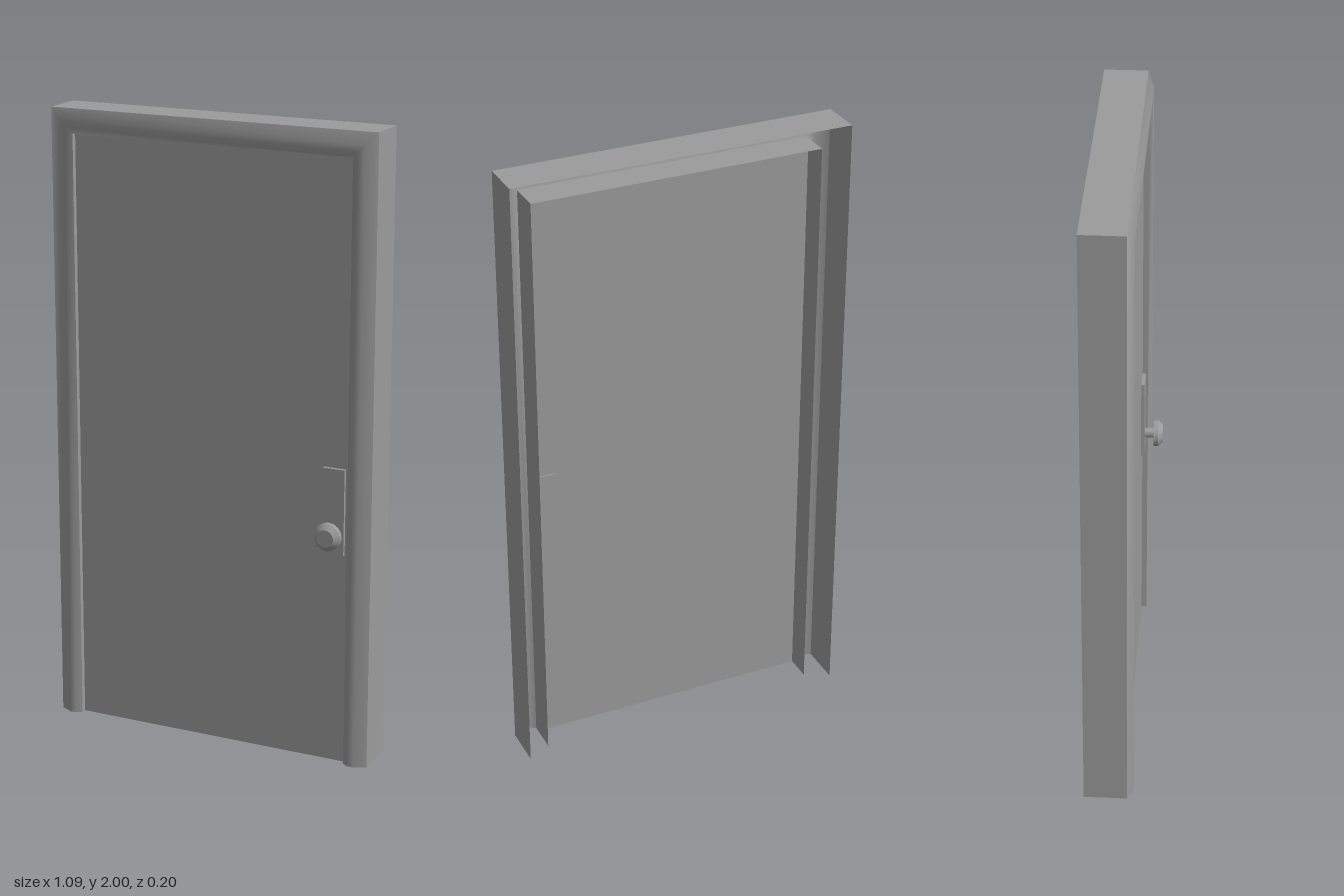
import * as THREE from 'three';
import { toCreasedNormals } from 'three/addons/utils/BufferGeometryUtils.js';

const HALF_WIDTH = 0.543, HEIGHT = 2;

// Frame section from the outer back edge, round the moulding, to the inner jamb: [x, z]
const SECTION = [
  [HALF_WIDTH, -0.1], [HALF_WIDTH, 0.037], [0.505, 0.056],
  [0.485, 0.055], [0.466, 0.044], [0.466, -0.06],
];

// Sweeps the section up one leg, across the top and down the other with mitred corners
function frameGeometry() {
  const pos = [], index = [];
  for (const [x, z] of SECTION) {
    const y = HEIGHT - (HALF_WIDTH - x);
    pos.push(-x, 0, z, -x, y, z, x, y, z, x, 0, z);
  }
  for (let i = 0; i < SECTION.length - 1; i++) {
    for (let j = 0; j < 3; j++) {
      const a = i * 4 + j, b = a + 1, c = b + 4, d = a + 4;
      index.push(a, d, c, a, c, b);
    }
  }
  const geo = new THREE.BufferGeometry();
  geo.setAttribute('position', new THREE.Float32BufferAttribute(pos, 3));
  geo.setIndex(index);
  return toCreasedNormals(geo, 0.75);
}

export function createModel() {
  const group = new THREE.Group();
  const solid = new THREE.MeshStandardMaterial({ color: 0x9b9b9b });
  const sheet = new THREE.MeshStandardMaterial({ color: 0x9b9b9b, side: THREE.DoubleSide });

  const add = (name, geo, material, x, y, z) => {
    const mesh = new THREE.Mesh(geo, material);
    mesh.name = name;
    mesh.position.set(x, y, z);
    group.add(mesh);
    return mesh;
  };

  // Open-backed frame and the thin door leaf inside it
  add('frame', frameGeometry(), sheet, 0, 0, 0);
  add('doorPanel', new THREE.PlaneGeometry(0.932, 1.923), sheet, 0, 0.9615, 0.027);

  // Lock plate showing on both faces of the door
  add('lockPlate', new THREE.BoxGeometry(0.072, 0.275, 0.016), solid, 0.417, 0.826, 0.03);

  // Turned knob: stem, wide rim, tapered face
  const profile = [
    [0.016, 0.03], [0.016, 0.068], [0.044, 0.068],
    [0.044, 0.083], [0.028, 0.098], [0, 0.098],
  ].map(([r, h]) => new THREE.Vector2(r, h));
  const knob = toCreasedNormals(new THREE.LatheGeometry(profile, 16), 0.5);
  add('knob', knob, solid, 0.416, 0.757, 0).rotation.x = Math.PI / 2;

  return group;
}
